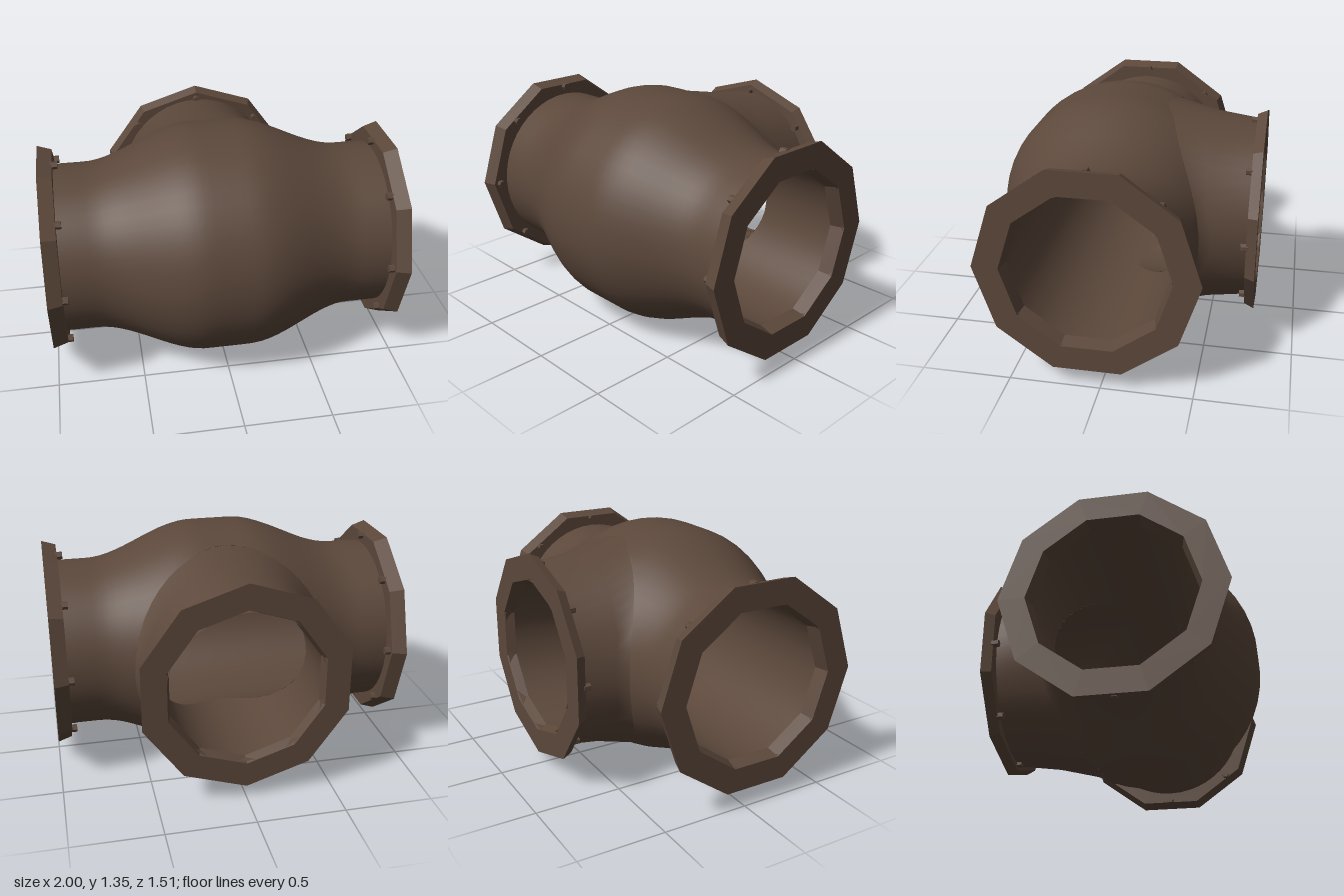
import * as THREE from 'three';

const CY = 0.68, CZ = 0.07;            // centre of the main pipe, which runs along x
const BORE = 0.45, BRANCH_BORE = 0.44;

// Outer radius of the swollen body along x
const bodyRadius = (x) => 0.675 - 0.19 * THREE.MathUtils.smoothstep(Math.abs(x), 0.12, 0.75);

// Indexed, smooth-shaded geometry from a list of points and faces
function build(points, faces) {
  const g = new THREE.BufferGeometry();
  g.setAttribute('position', new THREE.Float32BufferAttribute(points, 3));
  g.setIndex(faces);
  g.computeVertexNormals();
  return g;
}

// Pipe along x with an elliptical opening in its back wall; points inside the opening move to its rim
function piercedPipe(radius, half, rx, ry, inward) {
  const rows = 40, cols = 48, points = [], inside = [], faces = [];
  for (let i = 0; i <= rows; i++) {
    for (let j = 0; j < cols; j++) {
      const a = (j / cols) * Math.PI * 2;
      let x = -half + (2 * half * i) / rows;
      let y = radius(x) * Math.sin(a), z = radius(x) * Math.cos(a);
      const d = Math.hypot(x / rx, y / ry);
      const cut = z < 0 && d < 1;
      if (cut) {
        x = d > 1e-4 ? x / d : rx;
        y = d > 1e-4 ? y / d : 0;
        z = -Math.sqrt(Math.max(0, radius(x) ** 2 - y * y));
      }
      points.push(x, y, z);
      inside.push(cut);
    }
  }
  const tri = (a, b, c) => {
    if (inside[a] && inside[b] && inside[c]) return;
    if (inward) faces.push(a, c, b); else faces.push(a, b, c);
  };
  for (let i = 0; i < rows; i++) {
    for (let j = 0; j < cols; j++) {
      const k = (j + 1) % cols;
      const a = i * cols + j, b = i * cols + k, c = a + cols, d = b + cols;
      tri(a, c, d);
      tri(a, d, b);
    }
  }
  return build(points, faces);
}

// Skin through closed rings, each a function of angle giving [x, y, z]
function loft(rings, inward) {
  const cols = 48, points = [], faces = [];
  rings.forEach((ring) => {
    for (let j = 0; j < cols; j++) points.push(...ring((j / cols) * Math.PI * 2));
  });
  for (let i = 0; i < rings.length - 1; i++) {
    for (let j = 0; j < cols; j++) {
      const k = (j + 1) % cols;
      const a = i * cols + j, b = i * cols + k, c = a + cols, d = b + cols;
      if (inward) faces.push(a, b, d, a, d, c); else faces.push(a, d, b, a, c, d);
    }
  }
  return build(points, faces);
}

// Curve where an elliptical branch meets the main pipe
const saddle = (radius, rx, ry) => (a) => {
  const x = rx * Math.cos(a), y = ry * Math.sin(a);
  return [x, y, -Math.sqrt(Math.max(0, radius(x) ** 2 - y * y))];
};
const oval = (rx, ry, z) => (a) => [rx * Math.cos(a), ry * Math.sin(a), z - CZ];

export function createModel() {
  const model = new THREE.Group();
  const iron = new THREE.MeshStandardMaterial({ color: 0x5c483b, side: THREE.DoubleSide });
  iron.name = 'brown iron';

  const add = (parent, name, geometry) => {
    const mesh = new THREE.Mesh(geometry, iron);
    mesh.name = name;
    parent.add(mesh);
    return mesh;
  };

  // Pipe walls, outside and inside
  const pipe = new THREE.Group();
  pipe.name = 'pipe';
  pipe.position.set(0, CY, CZ);
  model.add(pipe);
  const bore = () => BORE;
  add(pipe, 'body', piercedPipe(bodyRadius, 0.95, 0.56, 0.62, false));
  add(pipe, 'bore', piercedPipe(bore, 0.995, BRANCH_BORE, BRANCH_BORE, true));

  // Branch at the back, flaring into the body
  const foot = saddle(bodyRadius, 0.56, 0.62);
  const collar = (a) => {
    const z = Math.min(foot(a)[2] - 0.06, -0.48 - CZ);
    return [0.515 * Math.cos(a), 0.56 * Math.sin(a), z];
  };
  add(pipe, 'branch', loft([foot, collar, oval(0.485, 0.525, -0.73)], false));
  add(pipe, 'branchBore', loft([
    saddle(bore, BRANCH_BORE, BRANCH_BORE),
    oval(BRANCH_BORE, BRANCH_BORE, -0.76),
  ], true));

  // Ten-sided flange with eight bolts behind it, facing +y before it is turned
  function flange(name, thick) {
    const g = new THREE.Group();
    g.name = name;
    const profile = [[0.435, -thick], [0.575, -thick], [0.6, 0], [0.455, 0], [0.435, -thick]]
      .map(([r, y]) => new THREE.Vector2(r, y));
    const ring = new THREE.LatheGeometry(profile, 10).toNonIndexed();
    ring.computeVertexNormals();
    add(g, 'flangeRing', ring);
    for (let i = 0; i < 8; i++) {
      const a = (i / 8) * Math.PI * 2;
      const nut = new THREE.CylinderGeometry(0.022, 0.022, 0.04, 6).toNonIndexed();
      nut.computeVertexNormals();
      add(g, 'bolt', nut)
        .position.set(0.535 * Math.sin(a), -thick - 0.01, 0.535 * Math.cos(a));
    }
    model.add(g);
    return g;
  }
  for (const side of [1, -1]) {
    const end = flange(side > 0 ? 'leftFlange' : 'rightFlange', 0.08);
    end.position.set(side, CY, CZ);
    end.rotation.z = -side * Math.PI / 2;
  }
  const back = flange('backFlange', 0.055);
  back.position.set(0, CY, -0.765);
  back.rotation.x = -Math.PI / 2;

  return model;
}
